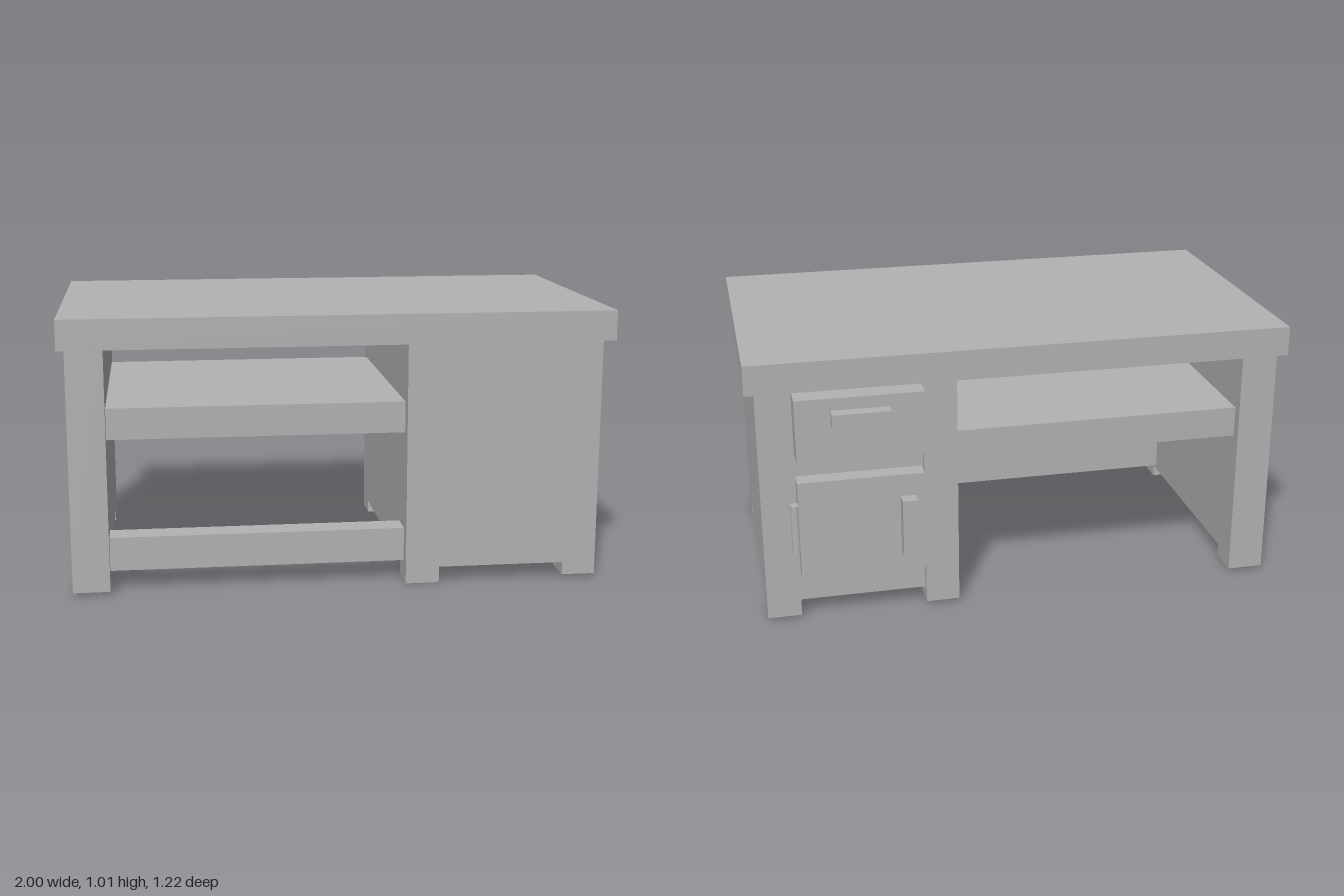
import * as THREE from 'three';

const grey = new THREE.MeshStandardMaterial({ color: 0xb2b2b2 });
grey.name = 'plain grey';

export function createModel() {
  const desk = new THREE.Group();
  desk.name = 'desk';

  // Box given by its minimum and maximum on each axis
  function block(name, x0, x1, y0, y1, z0, z1, parent = desk) {
    const geo = new THREE.BoxGeometry(x1 - x0, y1 - y0, z1 - z0);
    const mesh = new THREE.Mesh(geo, grey);
    mesh.name = name;
    mesh.position.set((x0 + x1) / 2, (y0 + y1) / 2, (z0 + z1) / 2);
    parent.add(mesh);
    return mesh;
  }

  const BACK = -0.48, FRONT = 0.57, BASE = 0.06, UNDER = 0.905;

  // Table top
  block('tableTop', -1, 1, UNDER, 1.015, -0.52, 0.61);

  // Side panel and drawer cabinet, with the cabinet's back framed by two posts
  block('sidePanel', -0.975, -0.84, BASE, UNDER, BACK, FRONT);
  const cabinet = new THREE.Group();
  cabinet.name = 'cabinet';
  desk.add(cabinet);
  block('cabinetBody', 0.245, 0.965, BASE, UNDER, -0.45, FRONT, cabinet);
  block('innerPost', 0.245, 0.37, BASE, UNDER, BACK, -0.45, cabinet);
  block('outerPost', 0.84, 0.965, BASE, UNDER, BACK, -0.45, cabinet);

  // Short feet under every corner; the inner front foot is a touch longer
  for (const [x0, x1] of [[-0.975, -0.84], [0.245, 0.37], [0.84, 0.965]]) {
    const low = x0 === 0.245 ? 0 : 0.012;
    block('frontFoot', x0, x1, low, BASE, 0.45, FRONT);
    block('backFoot', x0, x1, 0.012, BASE, BACK, -0.357);
  }

  // Shelf under the top and the foot rail
  block('shelf', -0.84, 0.245, 0.565, 0.68, -0.44, 0.52);
  block('footRail', -0.84, 0.245, 0.075, 0.2, 0.42, 0.52);

  // Drawer with a horizontal handle
  block('drawer', 0.375, 0.835, 0.65, 0.89, -0.562, -0.45, cabinet);
  block('drawerHandle', 0.5, 0.71, 0.797, 0.845, -0.61, -0.562, cabinet);

  // Door with an upright handle and a hinge
  block('door', 0.375, 0.835, 0.18, 0.56, -0.517, -0.45, cabinet);
  block('doorHandle', 0.41, 0.465, 0.255, 0.475, -0.566, -0.517, cabinet);
  const hinge = new THREE.Mesh(new THREE.CylinderGeometry(0.018, 0.018, 0.19, 16), grey);
  hinge.name = 'doorHinge';
  hinge.position.set(0.845, 0.375, -0.498);
  cabinet.add(hinge);

  return desk;
}
